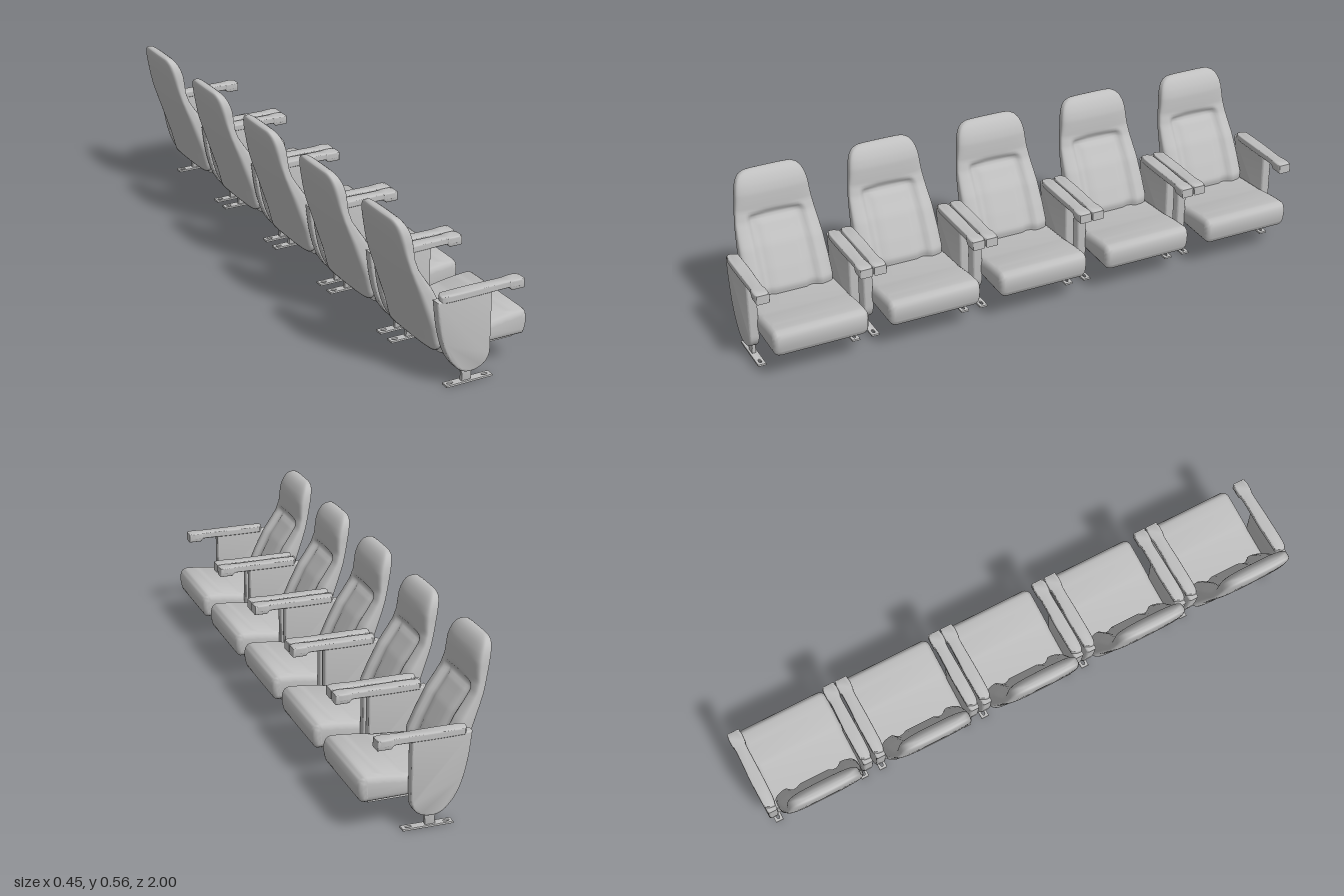
import * as THREE from 'three';
import { toCreasedNormals } from 'three/addons/utils/BufferGeometryUtils.js';

const grey = new THREE.MeshStandardMaterial({ color: 0xbfbfbf });
grey.name = 'seat grey';

function part(name, geometry) {
  const mesh = new THREE.Mesh(geometry, grey);
  mesh.name = name;
  return mesh;
}

// Closed outline, smoothed through its points or with straight sides
function outline(points, smooth) {
  const pts = points.map(([x, y]) => new THREE.Vector2(x, y));
  const s = new THREE.Shape();
  s.moveTo(pts[0].x, pts[0].y);
  if (smooth) s.splineThru([...pts.slice(1), pts[0]]);
  else pts.slice(1).forEach(p => s.lineTo(p.x, p.y));
  return s;
}

// Slab with rounded rims, centred on z = 0, with outer size kept to the outline
function slab(shape, thickness, bevel, crease = 0.7) {
  const g = new THREE.ExtrudeGeometry(shape, {
    depth: thickness - 2 * bevel, bevelSize: bevel, bevelThickness: bevel,
    bevelOffset: -bevel, bevelSegments: 4, curveSegments: 8,
  });
  g.translate(0, 0, bevel - thickness / 2);
  return toCreasedNormals(g, crease);
}

// Linear lookup in rows of [y, value...]
function sample(rows, y, k) {
  let i = 0;
  while (i < rows.length - 2 && y > rows[i + 1][0]) i++;
  const t = (y - rows[i][0]) / (rows[i + 1][0] - rows[i][0]);
  return THREE.MathUtils.lerp(rows[i][k], rows[i + 1][k], t);
}

// Backrest: horizontal sections [y, rear x, front x, half width]
function backrestGeometry() {
  const rows = [
    [0.115, -0.106, -0.07, 0.135], [0.13, -0.11, -0.045, 0.148], [0.19, -0.128, -0.035, 0.152],
    [0.25, -0.148, -0.062, 0.15], [0.32, -0.171, -0.098, 0.146], [0.36, -0.184, -0.126, 0.142],
    [0.395, -0.194, -0.149, 0.138], [0.43, -0.203, -0.16, 0.133], [0.46, -0.211, -0.161, 0.129],
    [0.49, -0.218, -0.163, 0.126], [0.515, -0.223, -0.17, 0.121], [0.535, -0.226, -0.18, 0.113],
    [0.548, -0.227, -0.19, 0.101], [0.555, -0.225, -0.2, 0.085], [0.558, -0.219, -0.208, 0.065],
  ];
  const smooth = THREE.MathUtils.smoothstep;
  const N = 72, levels = [];
  for (let i = 0; i <= 48; i++) levels.push(0.115 + i * 0.009);
  levels.push(0.552, 0.555, 0.557, 0.558);
  const pos = [], idx = [];
  for (const y of levels) {
    const rear = sample(rows, y, 1), front = sample(rows, y, 2), w = sample(rows, y, 3);
    const mid = (rear + front) / 2, depth = (front - rear) / 2;
    for (let j = 0; j < N; j++) {
      const a = (j / N) * Math.PI * 2, c = Math.cos(a), s = Math.sin(a);
      const z = w * Math.sign(c) * Math.abs(c) ** 0.6;
      let x = mid + depth * Math.sign(s) * Math.abs(s) ** 0.5;
      if (s > 0) {
        // Sunken middle below the headrest, with a raised inner pad
        const arch = 0.43 - 0.9 * z * z;
        const sunk = (1 - smooth(Math.abs(z), 0.08, 0.105)) * (1 - smooth(y, arch - 0.025, arch));
        const pad = (1 - smooth(Math.abs(z), 0.058, 0.07)) * (1 - smooth(y, 0.385, 0.4));
        x += -0.018 * sunk + 0.007 * pad;
      }
      pos.push(x, y, z);
    }
  }
  const L = levels.length;
  for (let i = 0; i < L - 1; i++) for (let j = 0; j < N; j++) {
    const a = i * N + j, b = i * N + (j + 1) % N;
    idx.push(a, b, a + N, b, b + N, a + N);
  }
  // Bottom and top caps
  pos.push(-0.088, 0.115, 0, -0.213, 0.5585, 0);
  for (let j = 0; j < N; j++) {
    const k = (j + 1) % N, t = (L - 1) * N;
    idx.push(L * N, k, j, L * N + 1, t + j, t + k);
  }
  // Rings run from +z towards +x, so flip every triangle to face outwards
  const g = new THREE.BufferGeometry();
  g.setAttribute('position', new THREE.Float32BufferAttribute(pos, 3));
  g.setIndex(idx);
  const [A, B, C] = [0, 1, N].map(i => new THREE.Vector3().fromArray(pos, i * 3));
  if (B.sub(A).cross(C.sub(A)).z < 0) {
    for (let i = 0; i < idx.length; i += 3) [idx[i], idx[i + 1]] = [idx[i + 1], idx[i]];
    g.setIndex(idx);
  }
  g.computeVertexNormals();
  return g;
}

function cushionGeometry() {
  const s = new THREE.Shape();
  s.moveTo(-0.085, 0.108);
  s.lineTo(0.205, 0.104);
  s.quadraticCurveTo(0.217, 0.104, 0.222, 0.13);
  s.bezierCurveTo(0.23, 0.165, 0.222, 0.196, 0.195, 0.194);
  s.quadraticCurveTo(0.12, 0.19, 0.06, 0.177);
  s.lineTo(-0.085, 0.165);
  return slab(s, 0.328, 0.024, 0.9);
}

// Rounded side panel seen from the side
function panelGeometry() {
  const s = new THREE.Shape();
  s.moveTo(-0.127, 0.306);
  s.lineTo(-0.119, 0.24);
  s.bezierCurveTo(-0.105, 0.15, -0.085, 0.105, -0.06, 0.078);
  s.bezierCurveTo(-0.04, 0.052, -0.02, 0.045, 0, 0.045);
  s.bezierCurveTo(0.035, 0.045, 0.068, 0.065, 0.068, 0.105);
  s.lineTo(0.068, 0.306);
  return slab(s, 0.034, 0.007);
}

// Armrest drawn from above, with a wider rounded front end
function armGeometry() {
  const g = slab(outline([
    [-0.1, -0.02], [0, -0.022], [0.11, -0.02], [0.14, -0.024], [0.172, -0.022], [0.18, 0],
    [0.172, 0.022], [0.14, 0.024], [0.11, 0.02], [0, 0.022], [-0.1, 0.02], [-0.112, 0],
  ], true), 0.024, 0.006);
  return g.rotateX(Math.PI / 2).translate(0, 0.31, 0);
}

// Foot plate with two bolt slots
function plateGeometry() {
  const s = outline([[-0.077, -0.014], [0.088, -0.014], [0.088, 0.014], [-0.077, 0.014]]);
  for (const x of [-0.058, 0.066]) {
    const h = new THREE.Path();
    h.absellipse(x, 0, 0.011, 0.005, 0, Math.PI * 2, true);
    s.holes.push(h);
  }
  return slab(s, 0.007, 0.001).rotateX(Math.PI / 2).translate(0, 0.0035, 0);
}

export function createModel() {
  const model = new THREE.Group();
  model.name = 'seatRow';
  const backrest = backrestGeometry(), cushion = cushionGeometry(), panel = panelGeometry();
  const arm = armGeometry(), plate = plateGeometry();
  const leg = slab(outline([[-0.036, 0.07], [-0.018, 0.03], [-0.02, 0.005], [0.013, 0.005],
    [0.015, 0.03], [0.018, 0.07]]), 0.014, 0.002);
  const armEnd = slab(outline([[0.126, 0.3], [0.136, 0.289], [0.18, 0.289], [0.18, 0.32],
    [0.126, 0.32]]), 0.046, 0.005);
  const pan = new THREE.BoxGeometry(0.25, 0.012, 0.27).translate(0.06, 0.1, 0);
  const hinge = new THREE.CylinderGeometry(0.014, 0.01, 0.025, 20).translate(0.15, 0.091, 0);

  for (let i = -2; i <= 2; i++) {
    const seat = new THREE.Group();
    seat.name = 'seat';
    seat.position.z = i * 0.4;
    seat.add(part('backrest', backrest), part('cushion', cushion),
      part('seatPan', pan), part('underStop', hinge));
    // Both sides: panel, armrest and foot
    for (const side of [-1, 1]) {
      const stand = new THREE.Group();
      stand.name = side > 0 ? 'nearStand' : 'farStand';
      const pieces = [['sidePanel', panel, 0.176], ['armrest', arm, 0.176],
        ['armrestEnd', armEnd, 0.176], ['leg', leg, 0.165], ['footPlate', plate, 0.165]];
      for (const [name, geometry, z] of pieces) {
        const mesh = part(name, geometry);
        mesh.position.z = side * z;
        stand.add(mesh);
      }
      seat.add(stand);
    }
    model.add(seat);
  }
  return model;
}
